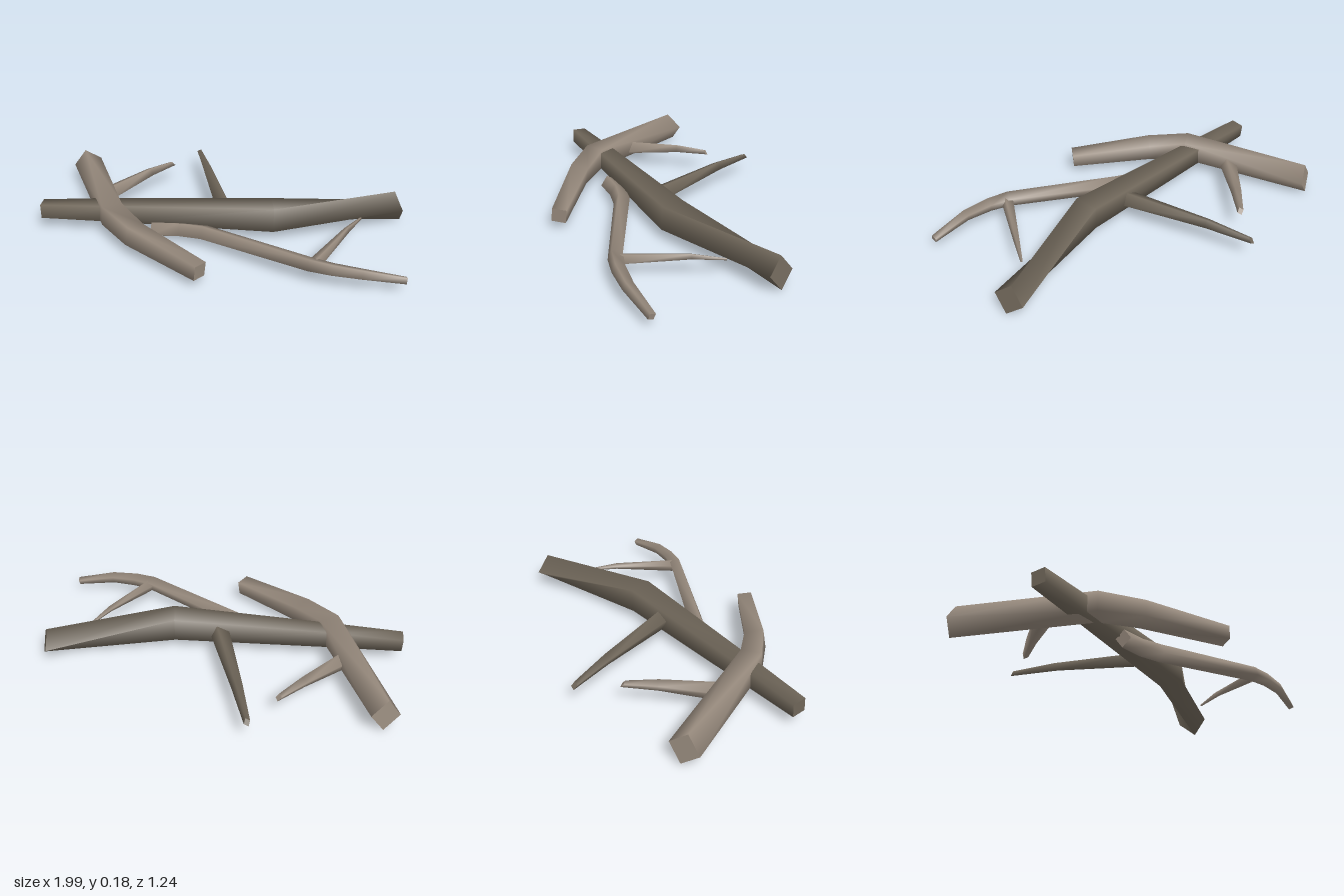
import * as THREE from 'three';

const SIDES = 4;
const UP = new THREE.Vector3(0, 1, 0);

// Tapered four-sided stick; each point is [x, y, z, cornerRadius, rollDegrees, lean],
// where lean slants the ring so that its top moves forward along the stick
function stick(name, material, points) {
  const centres = points.map(p => new THREE.Vector3(p[0], p[1], p[2]));
  const n = points.length;
  const pos = [], index = [];
  const rings = points.map(([, , , r, roll, lean = 0], i) => {
    const before = centres[Math.max(i - 1, 0)], after = centres[Math.min(i + 1, n - 1)];
    const dirIn = centres[i].clone().sub(before).normalize();
    const dirOut = after.clone().sub(centres[i]).normalize();
    const t = dirIn.add(dirOut).normalize();
    const side = UP.clone().cross(t).normalize();
    const up = t.clone().cross(side).addScaledVector(t, lean);
    return Array.from({ length: SIDES }, (_, j) => {
      const a = j / SIDES * Math.PI * 2 + THREE.MathUtils.degToRad(roll);
      return centres[i].clone()
        .addScaledVector(side, r * Math.cos(a))
        .addScaledVector(up, r * Math.sin(a));
    });
  });
  const addRing = ring => {
    const start = pos.length / 3;
    ring.forEach(v => pos.push(v.x, v.y, v.z));
    return start;
  };

  // Bark shared between rings for smooth shading
  rings.forEach(addRing);
  for (let i = 0; i < n - 1; i++) {
    for (let j = 0; j < SIDES; j++) {
      const k = (j + 1) % SIDES;
      const a = i * SIDES + j, b = i * SIDES + k;
      index.push(a, b, a + SIDES, b, b + SIDES, a + SIDES);
    }
  }
  // Flat cut ends
  const s = addRing(rings[0]), e = addRing(rings[n - 1]);
  for (let j = 1; j < SIDES - 1; j++) {
    index.push(s, s + j + 1, s + j, e, e + j, e + j + 1);
  }

  const geo = new THREE.BufferGeometry();
  geo.setAttribute('position', new THREE.Float32BufferAttribute(pos, 3));
  geo.setIndex(index);
  geo.computeVertexNormals();
  const mesh = new THREE.Mesh(geo, material);
  mesh.name = name;
  return mesh;
}

export function createModel() {
  const darkBark = new THREE.MeshStandardMaterial({ color: 0x70675a });
  darkBark.name = 'darkBark';
  const paleBark = new THREE.MeshStandardMaterial({ color: 0x978a7d });
  paleBark.name = 'paleBark';

  const group = new THREE.Group();
  group.name = 'fallenBranches';

  // Large dark branch with its side twig
  const large = new THREE.Group();
  large.name = 'largeBranch';
  large.add(
    stick('largeBranchStem', darkBark, [
      [0.652, 0.085, -0.572, 0.077, 8, 0.25],
      [0.23, 0.113, -0.06, 0.088, -42],
      [-0.42, 0.105, 0.37, 0.063, -45],
      [-0.737, 0.096, 0.582, 0.05, -40],
    ]),
    stick('largeBranchTwig', darkBark, [
      [0.0, 0.105, 0.03, 0.048, 20],
      [-0.34, 0.113, -0.25, 0.028, 20],
      [-0.52, 0.1, -0.4, 0.016, 20, -0.8],
    ]),
  );

  // Thick pale branch lying across it
  const crossing = new THREE.Group();
  crossing.name = 'crossingBranch';
  crossing.add(
    stick('crossingBranchStem', paleBark, [
      [-0.96, 0.083, 0.058, 0.075, 8, 0.2],
      [-0.4, 0.116, 0.426, 0.073, 42],
      [-0.2, 0.1, 0.478, 0.066, 35],
      [0.225, 0.076, 0.496, 0.051, 38],
    ]),
    stick('crossingBranchTwig', paleBark, [
      [-0.595, 0.09, 0.27, 0.045, 20],
      [-0.555, 0.112, -0.02, 0.027, 20],
      [-0.53, 0.108, -0.18, 0.016, 20, -0.8],
    ]),
  );

  // Slender pale branch with an upturned bend
  const slender = new THREE.Group();
  slender.name = 'slenderBranch';
  slender.add(
    stick('slenderBranchStem', paleBark, [
      [-0.225, 0.043, 0.322, 0.044, 10],
      [-0.1, 0.054, 0.254, 0.044, 15],
      [0.02, 0.066, 0.216, 0.044, 20],
      [0.6, 0.092, 0.16, 0.038, 25],
      [0.7, 0.091, 0.13, 0.034, 25],
      [0.82, 0.085, 0.072, 0.029, 25],
      [0.982, 0.054, -0.047, 0.02, 25],
    ]),
    stick('slenderBranchTwig', paleBark, [
      [0.607, 0.085, 0.14, 0.031, 20],
      [0.587, 0.104, -0.18, 0.016, 20],
      [0.575, 0.092, -0.335, 0.006, 20],
    ]),
  );

  group.add(large, crossing, slender);
  return group;
}
